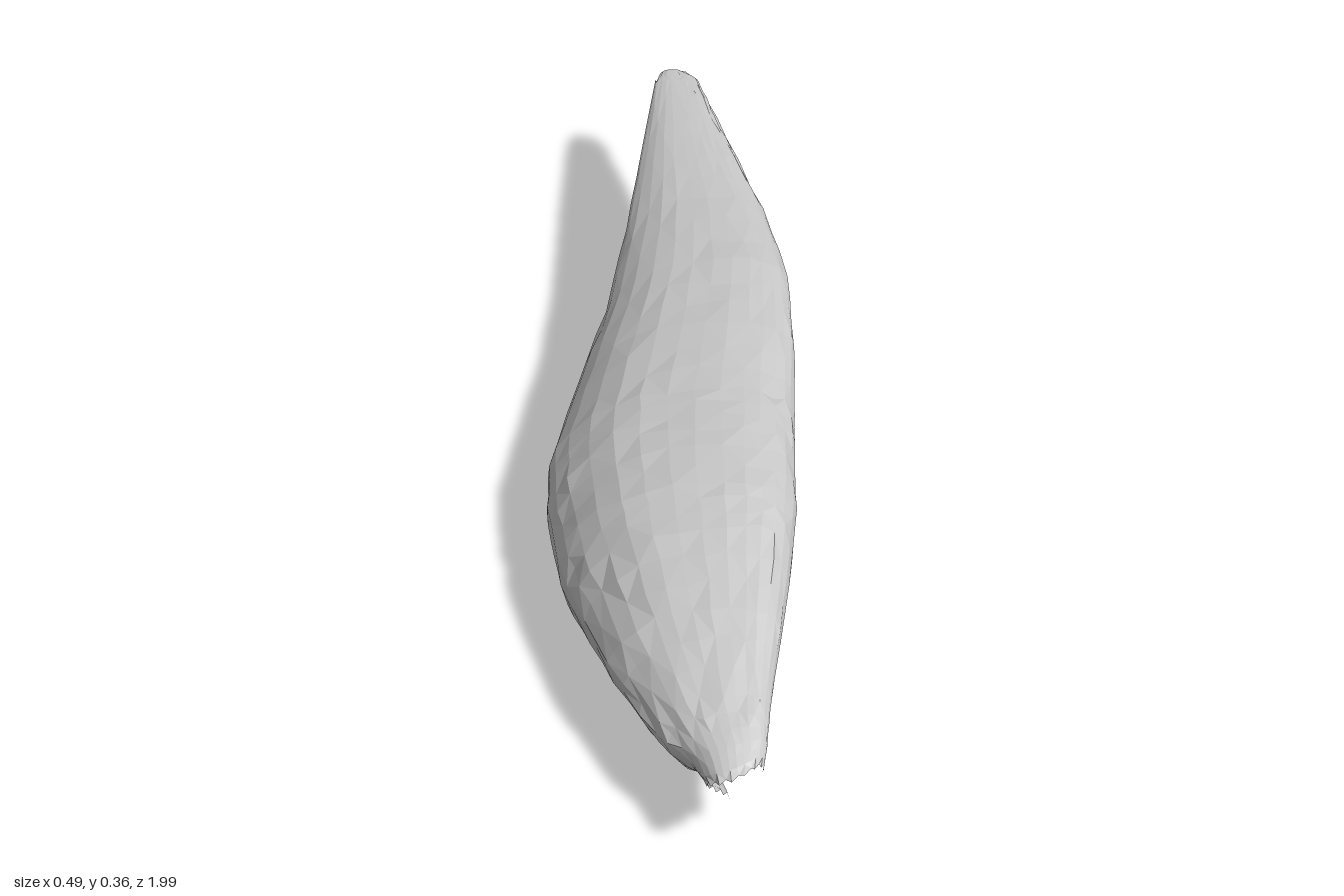
import * as THREE from 'three';

// Stations along the husk: z, left x, right x, bottom y, top y, upper rim height (0..1)
const STATIONS = [
  [-1.0, -0.137, -0.105, 0.292, 0.304, 0.7],
  [-0.97, -0.148, -0.07, 0.284, 0.308, 0.75],
  [-0.8, -0.156, 0.0, 0.24, 0.316, 0.78],
  [-0.6, -0.166, 0.087, 0.174, 0.326, 0.78],
  [-0.4, -0.183, 0.15, 0.109, 0.342, 0.78],
  [-0.2, -0.218, 0.182, 0.052, 0.351, 0.78],
  [0.0, -0.248, 0.202, 0.006, 0.357, 0.77],
  [0.12, -0.238, 0.216, 0.0, 0.361, 0.75],
  [0.28, -0.206, 0.232, 0.008, 0.361, 0.72],
  [0.4, -0.167, 0.239, 0.026, 0.351, 0.69],
  [0.6, -0.082, 0.239, 0.078, 0.318, 0.63],
  [0.8, 0.028, 0.236, 0.122, 0.272, 0.65],
  [0.92, 0.1, 0.24, 0.135, 0.246, 0.7],
  [1.0, 0.135, 0.238, 0.138, 0.225, 0.72],
];

// Open cross-section from the lower rim round the back to the upper rim
const PROFILE = [
  [0.39, 0.03], [0.25, 0], [0.1, 0.1], [0, 0.35], [0.06, 0.58], [0.27, 0.84],
  [0.53, 0.96], [0.78, 1], [0.93, 0.96], [1, 0.88], [0.98, 0.78],
];

const AROUND = 24;
const ALONG = 39;

// Small seeded noise for the uneven facets
function makeNoise(seed) {
  return () => {
    seed = (seed * 16807) % 2147483647;
    return seed / 2147483647 - 0.5;
  };
}

// Linear blend of the two nearest stations
function stationAt(t) {
  const f = t * (STATIONS.length - 1);
  const i = Math.min(Math.floor(f), STATIONS.length - 2);
  return STATIONS[i].map((a, k) => THREE.MathUtils.lerp(a, STATIONS[i + 1][k], f - i));
}

function sectionPoints([z, left, right, bottom, top, rim]) {
  // The front end is rounded off, its lower lip stopping short of the tip
  const round = THREE.MathUtils.smoothstep(z, 0.8, 1);
  const last = PROFILE.length - 1;
  const pts = PROFILE.map(([px, py], i) => {
    let v = py;
    if (i === last) v = rim;
    if (i === last - 1) v = (rim + 0.97) / 2;
    const setBack = round * (0.14 * (v - 0.7) ** 2 + 0.2 * (px - 0.45) ** 2);
    return new THREE.Vector3(
      left + (right - left) * px, bottom + (top - bottom) * v, z - setBack);
  });
  return new THREE.CatmullRomCurve3(pts).getPoints(AROUND);
}

function huskGeometry() {
  const noise = makeNoise(71);
  const positions = [];
  const index = [];
  for (let i = 0; i <= ALONG; i++) {
    const s = stationAt(i / ALONG);
    const amount = 0.012 * Math.min(s[2] - s[1], s[4] - s[3]);
    const slide = i > 0 && s[0] < 0.85 ? 0.02 : 0;
    sectionPoints(s).forEach((p, j) => {
      // Ragged front lip
      const tooth = i === ALONG && j % 2 ? 0.012 : 0;
      positions.push(
        p.x + noise() * amount,
        Math.max(0, p.y + noise() * amount),
        p.z + noise() * slide - tooth,
      );
    });
  }
  const row = AROUND + 1;
  for (let i = 0; i < ALONG; i++) {
    for (let j = 0; j < AROUND; j++) {
      const a = i * row + j, b = a + 1, c = a + row, d = c + 1;
      // Alternate the diagonals so the facets look irregular
      if ((i + j) % 2) index.push(a, c, b, b, c, d);
      else index.push(a, c, d, a, d, b);
    }
  }
  const g = new THREE.BufferGeometry();
  g.setAttribute('position', new THREE.Float32BufferAttribute(positions, 3));
  g.setIndex(index);
  g.computeVertexNormals();
  return g;
}

export function createModel() {
  const huskGrey = new THREE.MeshStandardMaterial({
    color: 0xcccccc, flatShading: true, side: THREE.DoubleSide,
  });
  huskGrey.name = 'husk grey';

  const group = new THREE.Group();
  group.name = 'husk';
  const shell = new THREE.Mesh(huskGeometry(), huskGrey);
  shell.name = 'huskShell';
  group.add(shell);
  return group;
}
